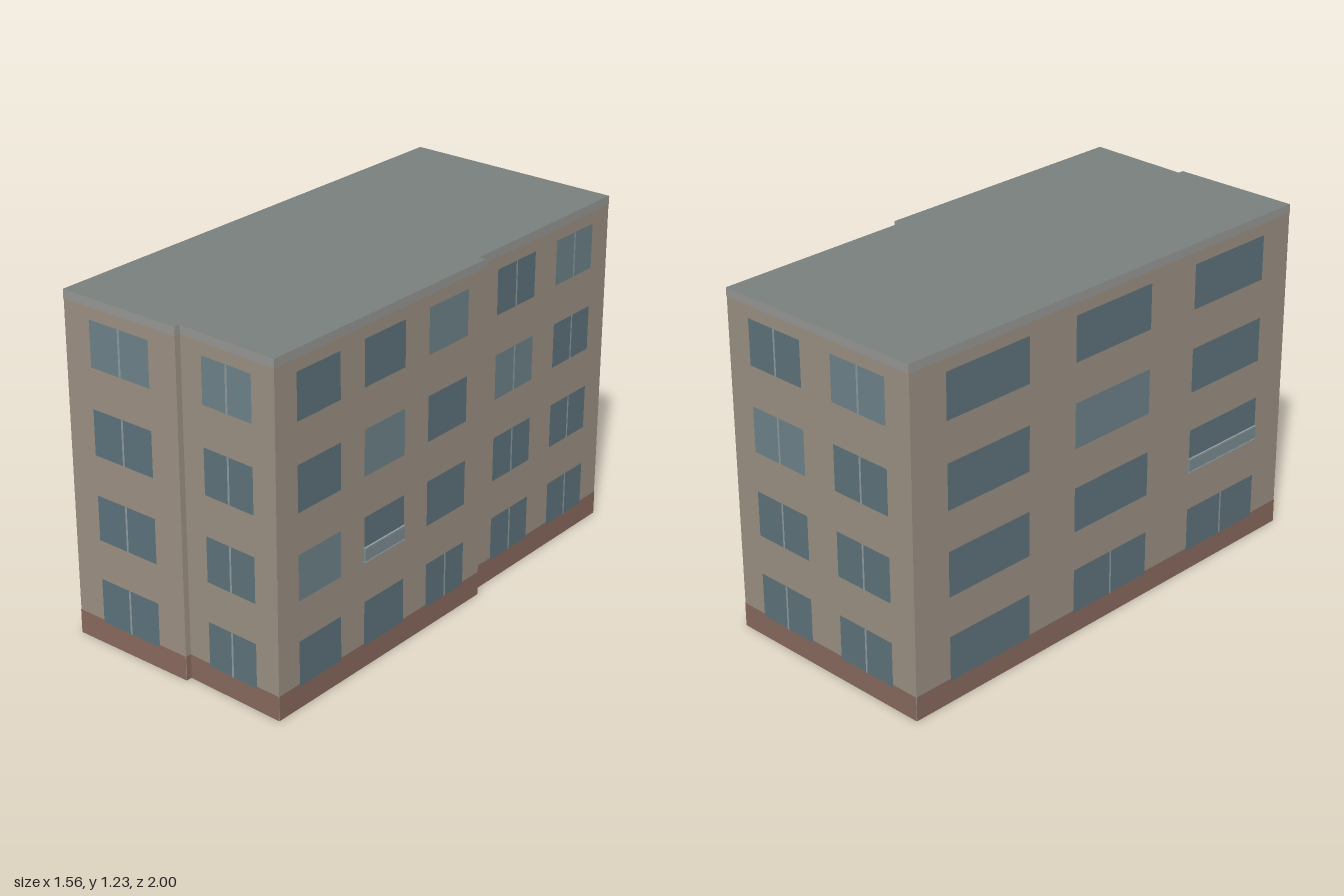
import * as THREE from 'three';

const mat = (color, side = THREE.FrontSide) => new THREE.MeshStandardMaterial({ color, side });

// Heights
const HEIGHT = 1.23, PLINTH = 0.088, CORNICE = 1.2;
const FLOORS = [0.08, 0.385, 0.69, 0.995], WINDOW_H = 0.162;

// Footprint edges, walked counter-clockwise seen from above. Each has its start corner,
// window spans along the edge, the windows with a mullion, pale panes and a railing ("floor,column").
const all = () => true;
const FACADES = [
  { name: 'frontWallLeft', at: [-0.778, 0.612], spans: [[0.233, 0.764]], split: all, pale: ['3,0'] },
  { name: 'frontStep', at: [-0.354, 0.831] },
  { name: 'frontWallRight', at: [-0.343, 0.812], spans: [[0.231, 0.763]], split: all, pale: ['3,0'] },
  { name: 'rightWallFront', at: [-0.005, 1], spans: [[0.093, 0.289], [0.401, 0.596], [0.713, 0.91]],
    split: (f, c) => f === 0 && c === 2, pale: ['3,2', '2,1', '1,0'], rail: '1,1' },
  { name: 'rightStep', at: [0.463, 0.077] },
  { name: 'rightWallBack', at: [0.44, 0.065], spans: [[0.135, 0.418], [0.584, 0.868]], split: all, pale: ['3,1', '2,0'] },
  { name: 'backWall', at: [0.778, -0.615], spans: [[0.125, 0.416], [0.584, 0.875]], split: all, pale: ['3,1', '2,0'] },
  { name: 'leftWall', at: [0.042, -1], spans: [[0.082, 0.282], [0.4, 0.6], [0.722, 0.922]],
    split: (f, c) => f === 0 && c > 0, pale: ['2,1'], rail: '1,2' },
];

export function createModel() {
  const building = new THREE.Group();
  building.name = 'apartmentBlock';

  const wall = mat(0xa09487, THREE.DoubleSide);
  const plinth = mat(0x8c6c60);
  const cornice = mat(0x9b9c98);
  const glass = mat(0x60767e);
  const paleGlass = mat(0x70868d);
  const frame = mat(0x93a0a2);
  const railing = mat(0x7f9094);
  const roofing = mat(0x7a827f, THREE.DoubleSide);

  FACADES.forEach((facade, i) => {
    const a = new THREE.Vector2(...facade.at);
    const b = new THREE.Vector2(...FACADES[(i + 1) % FACADES.length].at);
    const length = a.distanceTo(b);

    // Each facade is built flat: x along the wall, z outwards
    const group = new THREE.Group();
    group.name = facade.name;
    group.position.set(a.x, 0, a.y);
    group.rotation.y = Math.atan2(a.y - b.y, b.x - a.x);
    building.add(group);

    const add = (name, geometry, material, x, y, z) => {
      const mesh = new THREE.Mesh(geometry, material);
      mesh.name = name;
      mesh.position.set(x, y, z);
      group.add(mesh);
    };
    const panel = (name, material, x0, x1, y0, y1, z) =>
      add(name, new THREE.PlaneGeometry(x1 - x0, y1 - y0), material, (x0 + x1) / 2, (y0 + y1) / 2, z);

    panel('wall', wall, 0, length, 0, HEIGHT, 0);
    panel('plinth', plinth, 0, length, 0, PLINTH, 0.0015);
    panel('cornice', cornice, 0, length, CORNICE, HEIGHT, 0.0015);

    // Windows, floor by floor
    (facade.spans ?? []).forEach(([t0, t1], column) => FLOORS.forEach((y, floor) => {
      const x0 = t0 * length, x1 = t1 * length, mid = (x0 + x1) / 2;
      const key = `${floor},${column}`;
      panel('window', facade.pale.includes(key) ? paleGlass : glass, x0, x1, y, y + WINDOW_H, 0.003);
      if (facade.split(floor, column)) panel('mullion', frame, mid - 0.004, mid + 0.004, y, y + WINDOW_H, 0.004);

      // Shallow balcony guard across the lower part of the window
      if (facade.rail === key) {
        const w = x1 - x0;
        add('railPanel', new THREE.BoxGeometry(w, 0.05, 0.006), railing, mid, y + 0.027, 0.004);
        for (const h of [0.003, 0.053])
          add('railBar', new THREE.BoxGeometry(w, 0.005, 0.009), frame, mid, y + h, 0.0045);
      }
    }));
  });

  // Flat roof following the stepped footprint
  const outline = new THREE.Shape(FACADES.map(({ at }) => new THREE.Vector2(at[0], -at[1])));
  const roof = new THREE.Mesh(new THREE.ShapeGeometry(outline).rotateX(-Math.PI / 2), roofing);
  roof.name = 'roof';
  roof.position.y = HEIGHT;
  building.add(roof);

  return building;
}
